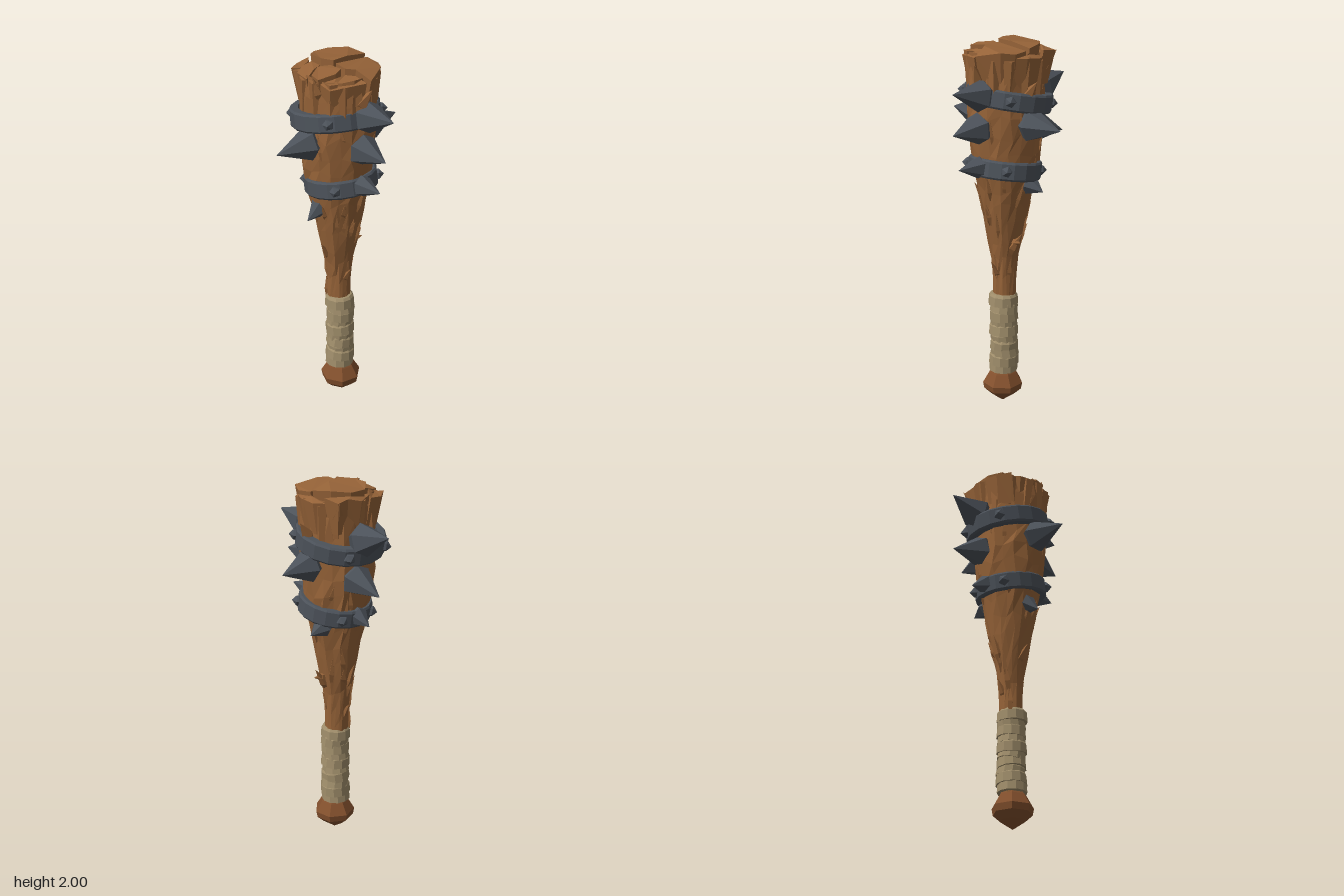
import * as THREE from 'three';

export function createModel() {
  const club = new THREE.Group();
  club.name = 'spikedClub';
  const material = (name, color) => {
    const m = new THREE.MeshStandardMaterial({ color });
    m.name = name;
    return m;
  };
  const wood = material('bark brown', 0x966338);
  const knobWood = material('reddish wood', 0x83502d);
  const iron = material('dark iron', 0x4c525a);
  const cloth = material('grip wrap', 0xa08e6b);

  let seed = 11;
  const rand = (a = 0, b = 1) => {
    seed = (seed * 16807) % 2147483647;
    return a + (b - a) * (seed / 2147483647);
  };
  const hash = (i, j) => {
    const s = Math.sin(i * 127.1 + j * 311.7) * 43758.5453;
    return s - Math.floor(s);
  };

  // Adds a faceted mesh
  const add = (name, geometry, mat, parent = club) => {
    const g = geometry.index ? geometry.toNonIndexed() : geometry;
    g.computeVertexNormals();
    const mesh = new THREE.Mesh(g, mat);
    mesh.name = name;
    parent.add(mesh);
    return mesh;
  };
  const lathe = (pts, sides) =>
    new THREE.LatheGeometry(pts.map(([r, y]) => new THREE.Vector2(r, y)), sides);
  const UP = new THREE.Vector3(0, 1, 0);
  // Pointed part running from a base centre to a tip
  const spike = (name, base, tip, radius, sides, mat) => {
    const b = new THREE.Vector3(...base);
    const d = new THREE.Vector3(...tip).sub(b);
    const h = d.length();
    const mesh = add(name, lathe([[radius * 0.7, -0.05], [radius, 0], [0, h]], sides), mat);
    mesh.position.copy(b);
    mesh.quaternion.setFromUnitVectors(UP, d.normalize());
    return mesh;
  };

  // Wooden body: height and radius stations
  const profile = [[0.16, 0.055], [0.6, 0.062], [0.78, 0.064], [0.88, 0.079], [1.0, 0.106], [1.12, 0.124],
    [1.22, 0.144], [1.3, 0.163], [1.4, 0.178], [1.55, 0.192], [1.7, 0.195], [1.85, 0.193], [1.94, 0.186]];
  const radiusAt = (y) => {
    for (let i = 1; i < profile.length; i++) {
      const [y0, r0] = profile[i - 1], [y1, r1] = profile[i];
      if (y <= y1) return r0 + (r1 - r0) * Math.max(0, (y - y0) / (y1 - y0));
    }
    return 0.186;
  };
  const sides = 20, rows = 18;
  const body = new THREE.CylinderGeometry(1, 1, 1, sides, rows, true);
  const pos = body.attributes.position, uv = body.attributes.uv;
  for (let i = 0; i < pos.count; i++) {
    const k = Math.round(uv.getX(i) * sides) % sides;
    const row = Math.round(uv.getY(i) * rows);
    const a = ((k + (hash(k, row) - 0.5) * 0.5) / sides) * Math.PI * 2;
    let y = 0.16 + (row / rows) * 1.77;
    if (row > 0) y += (hash(row, k + 40) - 0.5) * 0.06;
    const ridge = (hash(k, Math.floor((row + k) / 4)) - 0.5) * 0.1 + (hash(k + 9, row) - 0.5) * 0.04;
    const r = radiusAt(y) * (1 + ridge);
    pos.setXYZ(i, r * Math.sin(a), y, r * Math.cos(a) + 0.012 * Math.max(0, 1 - y));
  }
  add('barkBody', body, wood);
  add('headCore', new THREE.CylinderGeometry(0.175, 0.18, 0.14, 14), wood).position.y = 1.86;

  // Cracked end-grain blocks: top height, then x,z outline
  const blocks = [
    [2.0, [[-0.07, -0.13], [-0.01, -0.18], [0.08, -0.17], [0.15, -0.1], [0.175, 0], [0.05, 0.01], [-0.04, 0.01], [-0.07, -0.05]]],
    [1.985, [[-0.03, 0.02], [0.17, 0.02], [0.175, 0.1], [0.135, 0.165], [0.02, 0.225], [-0.005, 0.14], [-0.04, 0.1]]],
    [1.965, [[-0.18, -0.1], [-0.12, -0.13], [-0.075, -0.12], [-0.075, -0.05], [-0.13, -0.03], [-0.2, 0]]],
    [1.975, [[-0.185, 0.02], [-0.11, -0.025], [-0.05, 0], [-0.04, 0.07], [-0.1, 0.1], [-0.185, 0.07]]],
    [1.955, [[-0.18, 0.08], [-0.1, 0.105], [-0.045, 0.105], [-0.01, 0.145], [0, 0.215], [-0.09, 0.18], [-0.17, 0.14]]],
    [1.965, [[-0.17, -0.16], [-0.1, -0.205], [-0.02, -0.21], [-0.08, -0.135], [-0.13, -0.135]]],
    [1.975, [[-0.01, -0.19], [0.05, -0.215], [0.11, -0.18], [0.18, -0.18], [0.185, -0.09], [0.155, -0.1], [0.085, -0.175]]],
    [1.96, [[0.18, -0.09], [0.215, -0.04], [0.21, 0.05], [0.18, 0.1], [0.18, 0]]],
  ];
  for (const [top, outline] of blocks) {
    const shape = new THREE.Shape(outline.map(([x, z]) => new THREE.Vector2(x, -z)));
    const g = new THREE.ExtrudeGeometry(shape, { depth: 0.2, bevelEnabled: false });
    g.rotateX(-Math.PI / 2);
    const p = g.attributes.position;
    // Tops fall toward the rim, feet taper into the bark
    for (let i = 0; i < p.count; i++) {
      const x = p.getX(i), z = p.getZ(i), r = Math.hypot(x, z);
      if (p.getY(i) > 0.1) p.setY(i, top - 0.16 * Math.max(0, r - 0.13) - (r > 0.17 ? 0.025 * hash(Math.round(x * 1000), Math.round(z * 1000)) : 0));
      else p.setXYZ(i, x * 0.85, top - 0.2, z * 0.85);
    }
    add('endGrainBlock', g, wood);
  }

  // Ragged bark lumps around the rim
  for (let i = 0; i < 13; i++) {
    const a = (i / 13) * Math.PI * 2 + rand(-0.1, 0.1);
    const lump = add('rimBark', new THREE.CylinderGeometry(0.036, 0.022, rand(0.16, 0.24), 5), wood);
    lump.position.set(0.176 * Math.sin(a), rand(1.8, 1.85), 0.176 * Math.cos(a));
    lump.rotation.set(rand(-0.12, 0.12), rand(0, 3), rand(-0.12, 0.12));
  }
  // Splinters lifting off the bark
  for (let i = 0; i < 36; i++) {
    const y = rand(0.66, 1.78), a = i * 2.4 + rand(-0.3, 0.3);
    const r = radiusAt(y) * 0.95, R = radiusAt(y + 0.09) + rand(0, 0.012), b = a + rand(-0.12, 0.12);
    spike('splinter', [r * Math.sin(a), y, r * Math.cos(a)],
      [R * Math.sin(b), y + rand(0.06, 0.12), R * Math.cos(b)], rand(0.012, 0.02), 4, wood);
  }
  // Broken twigs and larger chips
  const twigs = [
    [[-0.075, 0.91, 0], [-0.125, 0.985, 0.01], 0.024], [[0.08, 0.91, 0.02], [0.145, 1.0, 0.02], 0.026],
    [[0.1, 0.945, 0.02], [0.145, 0.95, 0.03], 0.02], [[0, 0.76, 0.06], [0, 0.83, 0.105], 0.02],
    [[0, 0.72, -0.05], [0, 0.79, -0.09], 0.02], [[0, 0.93, -0.085], [0, 1.03, -0.125], 0.022],
    [[0.19, 1.75, 0.02], [0.245, 1.82, 0.02], 0.035], [[0, 1.82, 0.18], [0.02, 1.9, 0.235], 0.04],
    [[-0.17, 1.88, 0.05], [-0.2, 1.96, 0.05], 0.03], [[0.14, 1.86, -0.14], [0.18, 1.95, -0.19], 0.03],
  ];
  for (const [base, tip, r] of twigs) spike('twig', base, tip, r, 5, wood);

  // Iron bands, higher at the front
  const bands = [
    { x: 0, y: 1.7, z: -0.022, r: 0.232, slope: 0.19, roll: -0.03 },
    { x: 0.008, y: 1.335, z: 0.01, r: 0.193, slope: 0.17, roll: 0.02 },
  ];
  for (const { x, y, z, r, slope, roll } of bands) {
    const group = new THREE.Group();
    group.name = 'ironBand';
    group.position.set(x, y, z);
    group.rotation.set(-slope, 0, roll);
    club.add(group);
    const h = 0.048, i = r - 0.045;
    add('hoop', lathe([[i, -h], [r - 0.008, -h], [r, -h + 0.01], [r, h - 0.01], [r - 0.008, h], [i, h], [i, -h]], 18), iron, group);
    for (const deg of [48, 146, 214, 312]) {
      const a = THREE.MathUtils.degToRad(deg);
      const stud = add('stud', lathe([[0.032, -0.015], [0.028, 0.008], [0, 0.032]], 5), iron, group);
      stud.position.set(r * Math.sin(a), 0, r * Math.cos(a));
      stud.quaternion.setFromUnitVectors(UP, new THREE.Vector3(Math.sin(a), 0, Math.cos(a)));
    }
  }

  // Iron spikes: base, tip, radius
  const spikes = [
    [[0.025, 1.745, 0.2], [0.025, 1.778, 0.388], 0.085], [[0.04, 1.74, -0.22], [0.045, 1.787, -0.39], 0.088],
    [[0, 1.57, 0.19], [0, 1.56, 0.365], 0.085], [[0.05, 1.525, -0.18], [0.07, 1.48, -0.358], 0.085],
    [[-0.2, 1.59, 0], [-0.395, 1.59, 0], 0.085], [[0.205, 1.59, 0.01], [0.392, 1.59, 0], 0.085],
    [[0, 1.365, 0.19], [0, 1.375, 0.328], 0.058], [[0.02, 1.315, -0.165], [0.03, 1.283, -0.255], 0.055],
    [[-0.125, 1.205, 0], [-0.207, 1.15, 0], 0.055], [[0.15, 1.258, -0.035], [0.238, 1.235, -0.04], 0.056],
  ];
  for (const [base, tip, r] of spikes) spike('ironSpike', base, tip, r, 6, iron);

  // Overlapping cloth turns of the grip
  for (let i = 0; i < 10; i++) {
    const r = rand(0.07, 0.079), end = i === 0 || i === 9;
    const turn = add('gripWrap', lathe([[0.05, -0.034], [r + 0.003, -0.03], [r, 0.02], [r - 0.01, 0.034], [0.05, 0.036]], 11), cloth);
    turn.position.set(rand(-0.002, 0.007), 0.217 + i * 0.0425, 0.013);
    turn.rotation.set(end ? 0 : rand(-0.18, 0.18), rand(0, 6), end ? 0.03 : (i % 2 ? 1 : -1) * rand(0.05, 0.2));
  }

  // Faceted pommel
  const pommel = add('pommel', lathe([[0, 0], [0.065, 0.045], [0.103, 0.08], [0.11, 0.115], [0.075, 0.175], [0.055, 0.2]], 7), knobWood);
  pommel.position.set(0.002, 0, 0.02);
  pommel.rotation.y = 0.3;

  return club;
}
